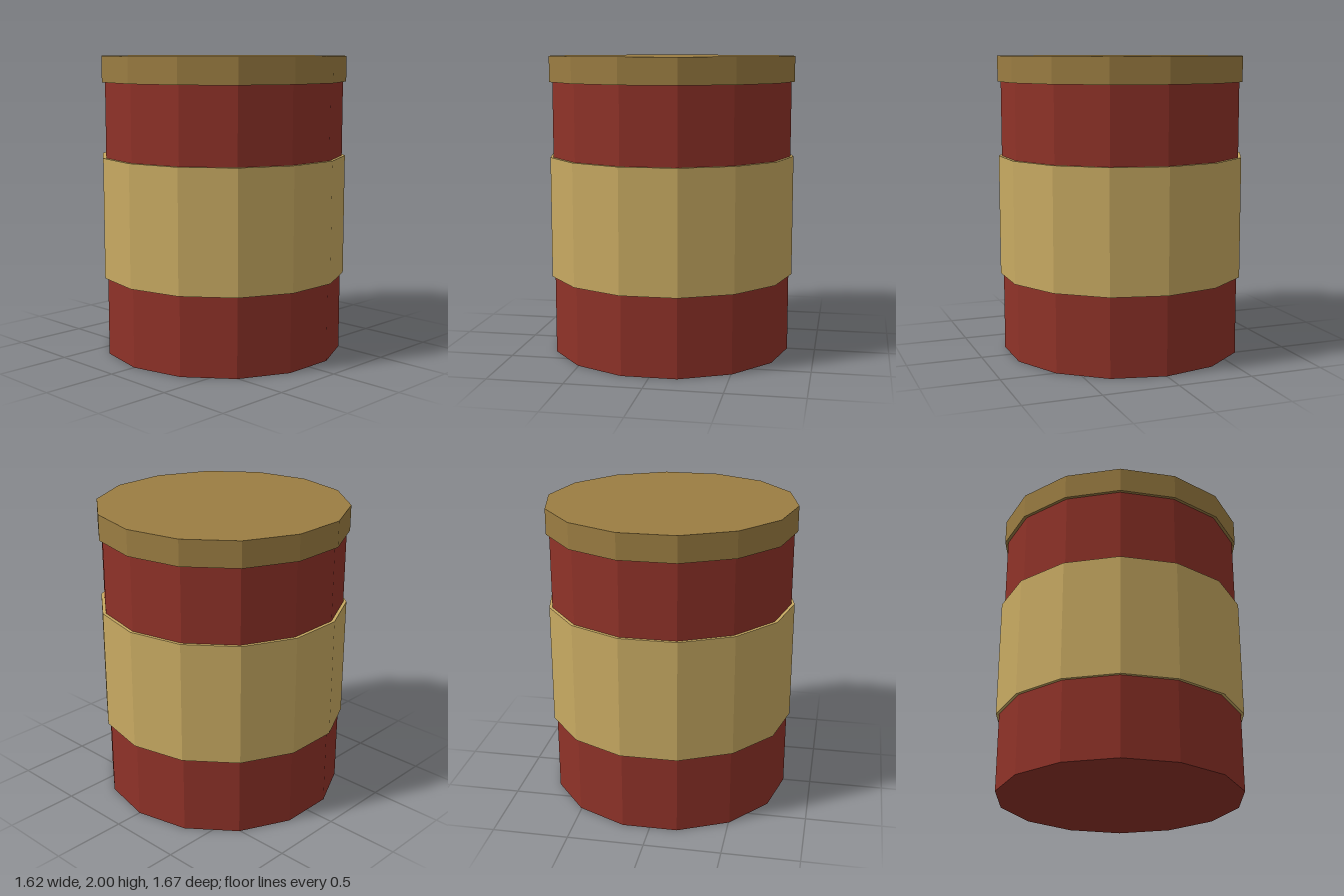
import * as THREE from 'three';

export function createModel() {
  const model = new THREE.Group();
  model.name = 'canister';

  const material = (name, color) => {
    const m = new THREE.MeshStandardMaterial({ color, flatShading: true });
    m.name = name;
    return m;
  };
  const red = material('dark red', 0x8f3228);
  const tan = material('tan', 0xc8aa62);
  const bronze = material('bronze', 0x9b7d42);

  // Fourteen-sided drum section between two heights
  const drum = (name, radius, bottom, top, mat) => {
    const geometry = new THREE.CylinderGeometry(radius, radius, top - bottom, 14);
    const mesh = new THREE.Mesh(geometry, mat);
    mesh.name = name;
    mesh.position.y = (bottom + top) / 2;
    model.add(mesh);
  };

  drum('body', 0.812, 0, 1.85, red);
  drum('labelBand', 0.833, 0.525, 1.333, tan);
  drum('lid', 0.833, 1.83, 2, bronze);

  return model;
}
